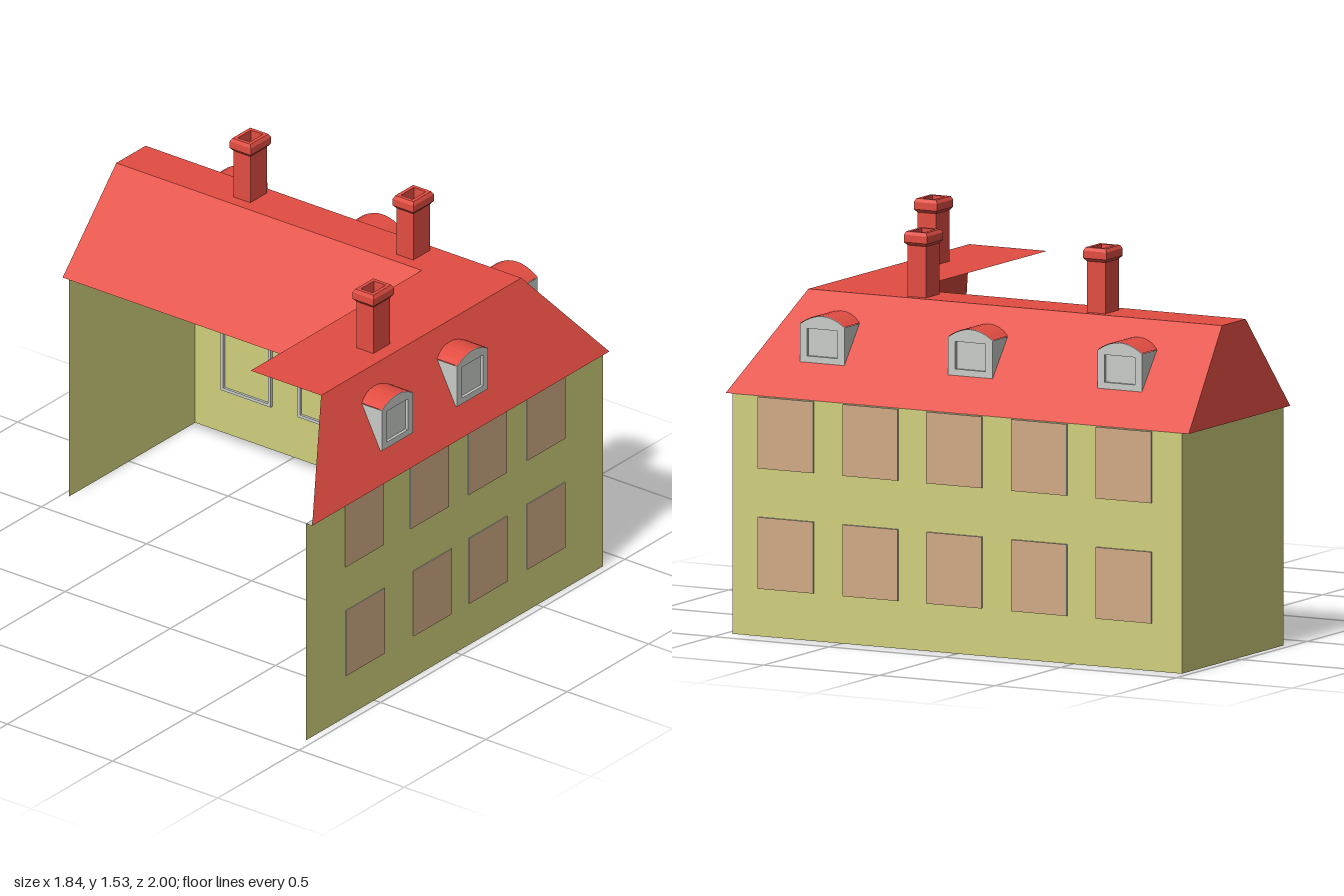
import * as THREE from 'three';

const mat = (name, color) => {
  const m = new THREE.MeshStandardMaterial({ color, side: THREE.DoubleSide });
  m.name = name;
  return m;
};

export function createModel() {
  const wallMat = mat('yellow plaster', 0xd0d07d);
  const paneMat = mat('window tan', 0xd0ab84);
  const roofMat = mat('red roof', 0xe34d42);
  const trimMat = mat('light grey trim', 0xc8ccc8);
  const model = new THREE.Group();
  model.name = 'cornerHouse';

  const add = (parent, name, geo, material, x = 0, y = 0, z = 0) => {
    const m = new THREE.Mesh(geo, material);
    m.name = name;
    m.position.set(x, y, z);
    parent.add(m);
    return m;
  };

  // Flat-shaded polygons, each a convex loop of corners, fanned into triangles
  const faces = (...loops) => {
    const p = [];
    for (const l of loops) {
      for (let i = 1; i < l.length - 1; i++) p.push(...l[0], ...l[i], ...l[i + 1]);
    }
    const g = new THREE.BufferGeometry();
    g.setAttribute('position', new THREE.Float32BufferAttribute(p, 3));
    g.computeVertexNormals();
    return g;
  };

  const rect = (C, w, y0, y1) => {
    const s = new C();
    s.moveTo(-w / 2, y0).lineTo(w / 2, y0).lineTo(w / 2, y1).lineTo(-w / 2, y1).closePath();
    return s;
  };

  // Walls: street front, long right side and the rear gable end
  const L = -0.92, R = 0.905, E = 0.915, W = 0.97, T = 1.285;
  add(model, 'frontWall', faces([[L, 0, W], [R, 0, W], [R, E, W], [L, E, W]]), wallMat);
  add(model, 'rightWall', faces([[R, 0, W], [R, 0, -W], [R, E, -W], [R, E, W]]), wallMat);
  add(model, 'backWall', faces([[R, 0, -W], [0.13, 0, -W], [0.13, E, -W], [R, E, -W]]), wallMat);

  // Roof slopes
  const fl = [L, E, 1], fr = [R, E, 1], br = [R, E, -1], bl = [0.13, E, -1], il = [0.13, E, 0.41];
  const tfl = [-0.62, T, 0.81], tfr = [0.61, T, 0.81], tbr = [0.61, T, -0.977];
  const tbl = [0.43, T, -0.977], til = [0.43, T, 0.475], tl = [-0.62, T, 0.475];
  add(model, 'frontRoofSlope', faces([fl, fr, tfr, tfl]), roofMat);
  add(model, 'rightRoofSlope', faces([fr, br, tbr, tfr]), roofMat);
  add(model, 'backRoofSlope', faces([br, bl, tbl, tbr]), roofMat);
  add(model, 'innerRoofSlope', faces([bl, il, til, tbl]), roofMat);
  // Flat L-shaped roof top
  add(model, 'flatRoof', faces(
    [tfl, tfr, [0.61, T, 0.475], tl],
    [til, [0.61, T, 0.475], tbr, tbl]), roofMat);
  // Soffits under the overhanging eaves
  add(model, 'frontSoffit', faces([[L, E, W], [R, E, W], fr, fl]), trimMat);
  add(model, 'backSoffit', faces([bl, br, [R, E, -W], [0.13, E, -W]]), trimMat);

  // Window: frame through the wall with a pane covering its outside
  const addWindow = (name, w, h, out) => {
    const g = new THREE.Group();
    g.name = name;
    const s = rect(THREE.Shape, w, 0, h);
    s.holes.push(rect(THREE.Path, w - 0.024, 0.012, h - 0.012));
    const frame = new THREE.ExtrudeGeometry(s, { depth: out + 0.01, bevelEnabled: false });
    add(g, 'windowFrame', frame, trimMat, 0, 0, -0.01);
    add(g, 'windowPane', new THREE.PlaneGeometry(w, h), paneMat, 0, h / 2, out + 0.001);
    model.add(g);
    return g;
  };
  const frontRows = [
    [0.175, [-0.558, -0.145, 0.197, 0.553]],
    [0.635, [-0.563, -0.163, 0.193, 0.553]]];
  for (const [y, xs] of frontRows) {
    for (const x of xs) addWindow('frontWindow', 0.235, 0.275, 0.003).position.set(x, y, W);
  }
  for (const y of [0.182, 0.64]) {
    for (const z of [0.738, 0.372, 0.01, -0.357, -0.722]) {
      const win = addWindow('rightWindow', 0.238, 0.272, 0.009);
      win.position.set(R, y, z);
      win.rotation.y = Math.PI / 2;
    }
  }

  // Dormer with an arched roof, facing +z, its front at z = 0
  const addDormer = (name, w, edge, peak, depth) => {
    const g = new THREE.Group();
    g.name = name;
    const h = w / 2, n = 8, arc = [];
    for (let i = 0; i <= n; i++) {
      const t = -1 + (2 * i) / n;
      arc.push([t * h, edge + (peak - edge) * (1 - t * t)]);
    }
    const s = new THREE.Shape();
    s.moveTo(-h, 0).lineTo(h, 0);
    for (const [x, y] of [...arc].reverse()) s.lineTo(x, y);
    s.closePath();
    const ow = w * 0.68, y0 = 0.025, y1 = edge - 0.015;
    s.holes.push(rect(THREE.Path, ow, y0, y1));
    add(g, 'dormerFront', new THREE.ExtrudeGeometry(s, { depth: 0.012, bevelEnabled: false }), trimMat, 0, 0, -0.012);
    add(g, 'dormerPane', new THREE.PlaneGeometry(ow, y1 - y0), trimMat, 0, (y0 + y1) / 2, -0.012);
    add(g, 'dormerSides', faces(...[-h, h].map((x) =>
      [[x, 0, 0], [x, 0, -depth], [x, edge, -depth], [x, edge, 0]])), trimMat);
    const strips = arc.slice(1).map(([x, y], i) => {
      const [px, py] = arc[i];
      const a = 0.002;
      return [[px, py + a, 0], [x, y + a, 0], [x, y + a, -depth], [px, py + a, -depth]];
    });
    add(g, 'dormerRoof', faces(...strips), roofMat);
    model.add(g);
    return g;
  };
  for (const x of [-0.338, 0.125]) {
    addDormer('frontDormer', 0.19, 0.17, 0.2, 0.11).position.set(x, 1.02, 0.954);
  }
  for (const z of [0.64, 0, -0.645]) {
    const d = addDormer('rightDormer', 0.192, 0.145, 0.18, 0.145);
    d.position.set(0.805, 1.04, z);
    d.rotation.y = Math.PI / 2;
  }

  // Chimneys: rectangular rings swept up the shaft, round the cap and into the flue
  const profile = [[0, 0], [0, 0.195], [0.01, 0.207], [0.01, 0.235], [0.003, 0.248],
    [-0.012, 0.248], [-0.012, 0.2]];
  const ring = ([o, y]) => [[-1, 1], [1, 1], [1, -1], [-1, -1]].map(([a, b]) =>
    [a * (0.052 + o), y, b * (0.04 + o)]);
  const loops = [];
  for (let i = 1; i < profile.length; i++) {
    const a = ring(profile[i - 1]), b = ring(profile[i]);
    for (let k = 0; k < 4; k++) loops.push([a[k], a[(k + 1) % 4], b[(k + 1) % 4], b[k]]);
  }
  loops.push(ring(profile[profile.length - 1]));
  const chimney = faces(...loops);
  for (const [x, z] of [[-0.174, 0.713], [0.53, 0.358], [0.53, -0.417]]) {
    add(model, 'chimney', chimney, roofMat, x, T, z);
  }
  return model;
}
